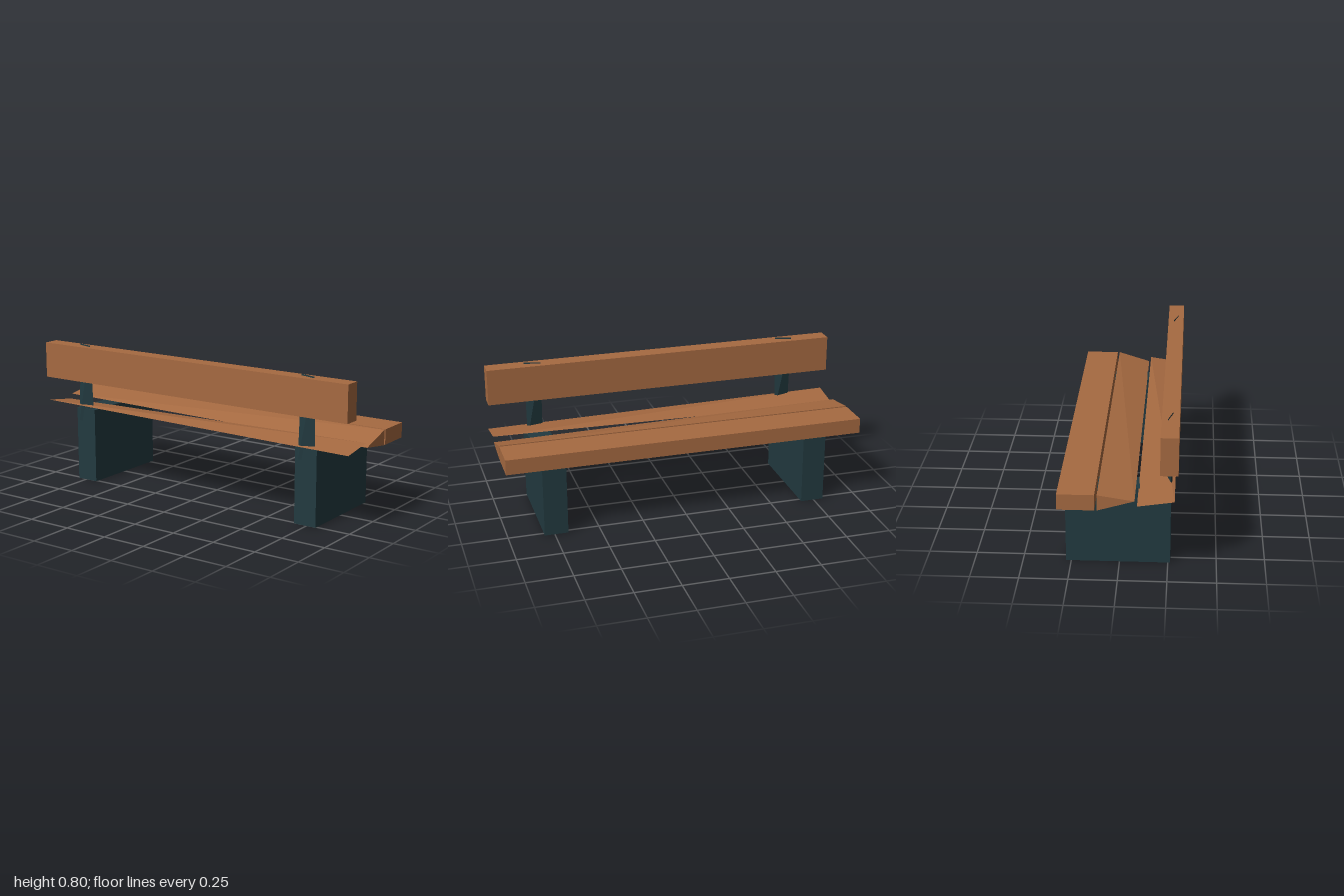
import * as THREE from 'three';
import { ConvexGeometry } from 'three/addons/geometries/ConvexGeometry.js';

const wood = new THREE.MeshStandardMaterial({ color: 0xa66a41 });
wood.name = 'warmWood';
const metal = new THREE.MeshStandardMaterial({ color: 0x223a40 });
metal.name = 'darkTeal';

export function createModel() {
  const bench = new THREE.Group();
  bench.name = 'bench';

  const add = (name, geometry, material) => {
    const mesh = new THREE.Mesh(geometry, material);
    mesh.name = name;
    bench.add(mesh);
  };
  // Box given by its lower and upper limits on each axis
  const box = (name, [x0, x1], [y0, y1], [z0, z1], material) => {
    const g = new THREE.BoxGeometry(x1 - x0, y1 - y0, z1 - z0);
    g.translate((x0 + x1) / 2, (y0 + y1) / 2, (z0 + z1) / 2);
    add(name, g, material);
  };
  // Faceted wedge spanned by its corner points
  const wedge = (name, corners, material) =>
    add(name, new ConvexGeometry(corners.map((c) => new THREE.Vector3(...c))), material);

  // Backrest board and square rear seat board
  box('backrest', [-1, 1], [0.59, 0.792], [0.21, 0.3], wood);
  box('rearSeatBoard', [-1, 1], [0.394, 0.478], [-0.3, -0.112], wood);

  // Middle seat board: triangular ends with a front edge that tilts along x
  wedge('middleSeatBoard', [
    [-1, 0.449, 0.086], [-1, 0.478, -0.1], [-1, 0.394, -0.1],
    [1, 0.421, 0.086], [1, 0.478, -0.1], [1, 0.394, -0.1],
  ], wood);

  // Front seat board: twisted until both ends are sharp
  wedge('frontSeatBoard', [
    [-1, 0.449, 0.283], [-1, 0.421, 0.098],
    [1, 0.421, 0.283], [1, 0.449, 0.098],
  ], wood);

  for (const side of [-1, 1]) {
    const label = side < 0 ? 'right' : 'left';
    const x = side * 0.74;

    // Solid leg block
    box(label + 'Leg', [x - 0.065, x + 0.065], [0, 0.425], [-0.277, 0.262], metal);

    // Twisted backrest post, sharp at top and bottom
    wedge(label + 'BackrestPost', [
      [x - 0.045, 0.8, 0.242], [x + 0.045, 0.8, 0.267],
      [x - 0.045, 0.352, 0.267], [x + 0.045, 0.352, 0.242],
    ], metal);
  }
  return bench;
}
